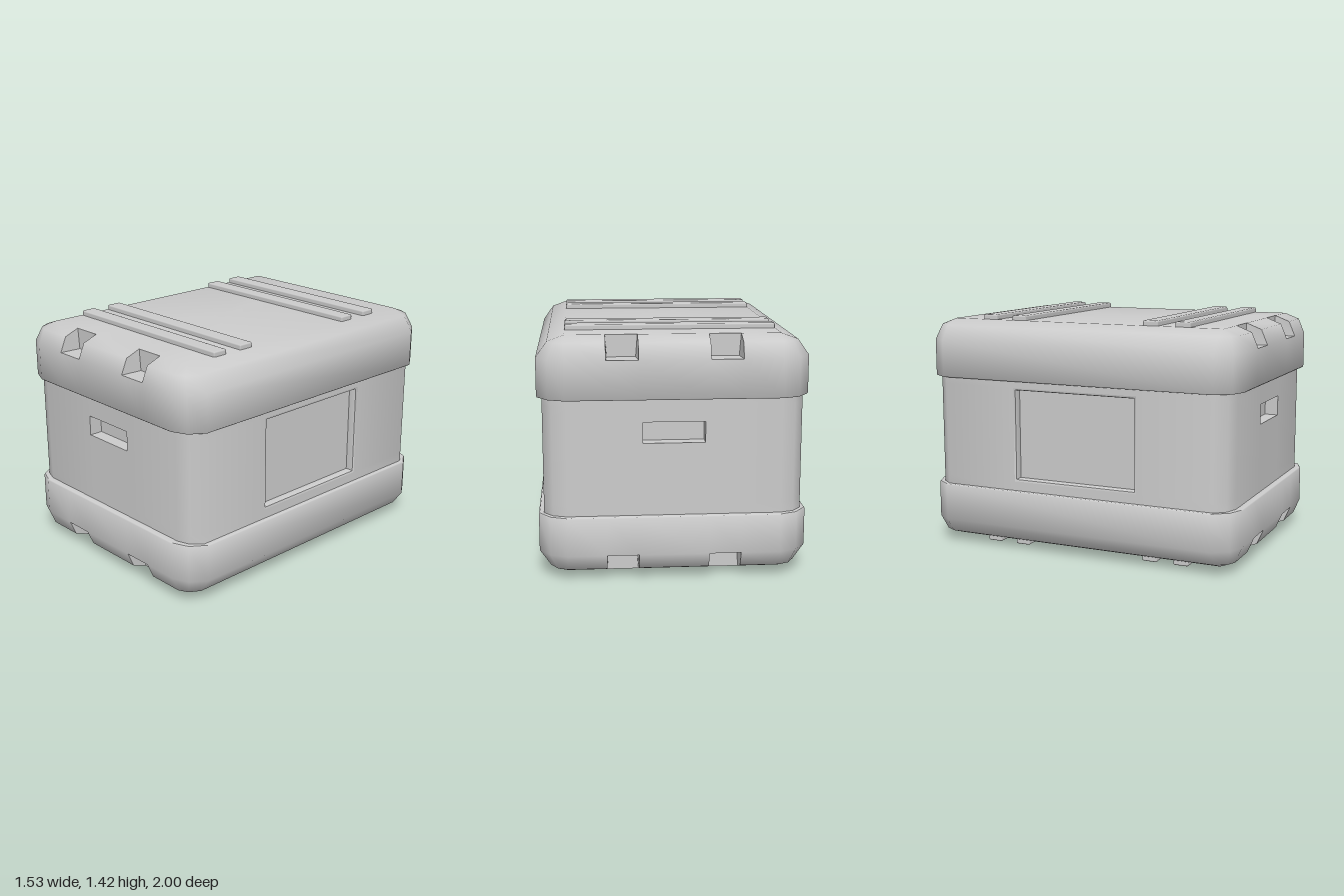
import * as THREE from 'three';
import { toCreasedNormals } from 'three/addons/utils/BufferGeometryUtils.js';
import { RoundedBoxGeometry } from 'three/addons/geometries/RoundedBoxGeometry.js';

const H = 1.425;               // overall height
const CX = 0.605, CZ = 0.87;   // centres of the rounded corners
const V = (x, y, z) => new THREE.Vector3(x, y, z);
const material = new THREE.MeshStandardMaterial({ color: 0xcccccc });

function addMesh(parent, name, geometry) {
  const mesh = new THREE.Mesh(geometry, material);
  mesh.name = name;
  parent.add(mesh);
  return mesh;
}

// Geometry from four-cornered faces; collapsed triangles are dropped
function fromQuads(quads, crease) {
  const points = [];
  const tri = (a, b, c) => {
    if (new THREE.Triangle(a, b, c).getArea() > 1e-7) points.push(a, b, c);
  };
  for (const [a, b, c, d] of quads) {
    tri(a, b, c);
    tri(a, c, d);
  }
  const geometry = new THREE.BufferGeometry().setFromPoints(points);
  geometry.computeVertexNormals();
  return toCreasedNormals(geometry, crease);
}

// Rounded-rectangle loop at height y, split at the given x and z values
function outline(y, rx, rz, xs, zs) {
  const corner = (sx, sz) => [[1, 0], [0.6, 0.7], [0, 1]]
    .map(([a, b]) => V(sx * (CX + rx * a), y, sz * (CZ + rz * b)));
  const alongX = (z) => xs.map((x) => V(x, y, z));
  const alongZ = (x) => zs.map((z) => V(x, y, z));
  return [
    ...alongZ(CX + rx), ...corner(1, 1),
    ...alongX(CZ + rz).reverse(), ...corner(-1, 1).reverse(),
    ...alongZ(-CX - rx).reverse(), ...corner(-1, -1),
    ...alongX(-CZ - rz), ...corner(1, -1).reverse(),
  ];
}

// Skin between successive loops, leaving out faces whose centre is in a hole
function skin(loops, isHole) {
  const quads = [];
  for (let j = 0; j < loops.length - 1; j++) {
    const lo = loops[j], hi = loops[j + 1];
    for (let i = 0; i < lo.length; i++) {
      const k = (i + 1) % lo.length;
      const quad = [lo[i], hi[i], hi[k], lo[k]];
      const mid = quad.reduce((s, p) => s.add(p), V(0, 0, 0)).multiplyScalar(0.25);
      if (!isHole(mid)) quads.push(quad);
    }
  }
  return fromQuads(quads, 0.9);
}

// Recess facing +z: rings of [half width, half height, z], closed by a back
function pocket(rings) {
  const loops = rings.map(([w, h, z]) => [V(-w, -h, z), V(w, -h, z), V(w, h, z), V(-w, h, z)]);
  const quads = [loops.at(-1)];
  for (let j = 0; j < loops.length - 1; j++) {
    for (let i = 0; i < 4; i++) {
      const k = (i + 1) % 4;
      quads.push([loops[j][i], loops[j][k], loops[j + 1][k], loops[j + 1][i]]);
    }
  }
  return fromQuads(quads, 0.6);
}

// Notch cut out of the rounded long edge of a cap
function notch() {
  const side = (s) => [
    V(s * 0.08, 1.27, 0.87), V(s * 0.09, 1.395, 0.87),
    V(s * 0.09, 1.36, 0.961), V(s * 0.09, 1.27, 1),
  ];
  const l = side(-1), r = side(1);
  return fromQuads([
    l, [...r].reverse(),
    [l[0], l[3], r[3], r[0]],
    [l[0], r[0], r[1], l[1]],
  ], 0.5);
}

function createCap() {
  const cap = new THREE.Group();
  const xs = [-0.38, -0.2, 0.2, 0.38];

  // Shell: ledge, wall, rounded edge and flat top
  const loops = [
    [1.047, 0.12, 0.08], [1.047, 0.155, 0.125], [1.053, 0.16, 0.13],
    [1.27, 0.16, 0.13], [1.36, 0.096, 0.091], [1.395, 0, 0],
  ].map(([y, rx, rz]) => outline(y, rx, rz, xs, []));
  loops.push(loops[0].map(() => V(0, 1.395, 0)));
  addMesh(cap, 'capShell', skin(loops, (p) =>
    p.y > 1.275 && p.y < 1.39 && Math.abs(p.z) > CZ &&
    Math.abs(p.x) > 0.2 && Math.abs(p.x) < 0.38));

  // Notches on the front and back edges
  const notchGeometry = notch();
  for (const x of [-0.29, 0.29]) {
    for (const turn of [0, Math.PI]) {
      const mesh = addMesh(cap, 'edgeNotch', notchGeometry);
      mesh.position.x = x;
      mesh.rotation.y = turn;
    }
  }

  // Raised rails across the flat face
  const railGeometry = new RoundedBoxGeometry(1.21, 0.06, 0.094, 1, 0.01);
  for (const z of [-0.626, -0.428, 0.428, 0.626]) {
    addMesh(cap, 'rail', railGeometry).position.set(0, H - 0.03, z);
  }
  return cap;
}

export function createModel() {
  const model = new THREE.Group();
  model.name = 'storageCase';

  // Upright walls with openings for the grips and side panels
  const walls = [0.37, 0.435, 0.795, 0.915, 1.005, 1.055]
    .map((y) => outline(y, 0.13, 0.09, [-0.175, 0.175], [-0.4, 0.4]));
  addMesh(model, 'bodyWalls', skin(walls, (p) =>
    (Math.abs(p.x) > 0.7 && Math.abs(p.z) < 0.4 && p.y > 0.435 && p.y < 1.005) ||
    (Math.abs(p.z) > 0.9 && Math.abs(p.x) < 0.175 && p.y > 0.795 && p.y < 0.915)));

  // Grip recesses front and back, panel recesses left and right
  const grip = pocket([[0.175, 0.06, 0], [0.175, 0.06, -0.08]]);
  const panel = pocket([
    [0.4, 0.285, 0], [0.389, 0.274, -0.004], [0.385, 0.27, -0.015], [0.385, 0.27, -0.05],
  ]);
  for (const s of [1, -1]) {
    const gripMesh = addMesh(model, 'gripRecess', grip);
    gripMesh.position.set(0, 0.855, s * 0.96);
    gripMesh.rotation.y = s > 0 ? 0 : Math.PI;
    const panelMesh = addMesh(model, 'sidePanelRecess', panel);
    panelMesh.position.set(s * 0.735, 0.72, 0);
    panelMesh.rotation.y = s * Math.PI / 2;
  }

  // Lid, and the same shell upside down as the base
  const lid = createCap();
  lid.name = 'lid';
  const base = createCap();
  base.name = 'base';
  base.rotation.z = Math.PI;
  base.position.y = H;
  model.add(lid, base);
  return model;
}
